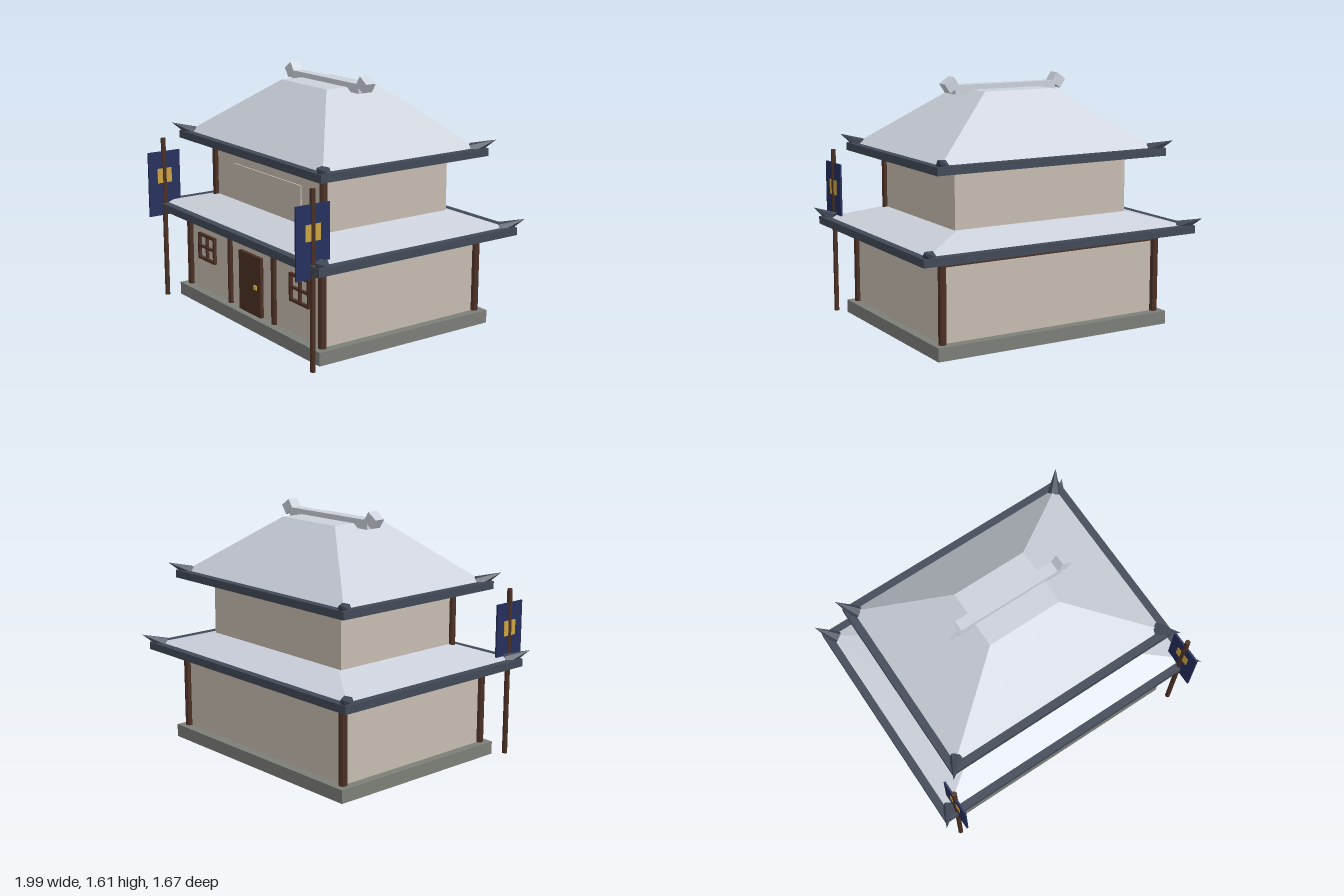
import * as THREE from 'three';

const mat = (name, color, flat = false) => {
  const m = new THREE.MeshStandardMaterial({ color, flatShading: flat });
  m.name = name;
  return m;
};

export function createModel() {
  const model = new THREE.Group();
  model.name = 'pagodaHouse';
  const plaster = mat('plaster', 0xc6bcb1);
  const stone = mat('stone', 0x7c7e78);
  const wood = mat('darkWood', 0x4b3024, true);
  const roofTile = mat('paleRoof', 0xcbd0da);
  const slate = mat('slateTrim', 0x414957, true);
  const navy = mat('navyCloth', 0x252f5c);
  const gold = mat('gold', 0xcda33f);
  const CZ = -0.022; // depth centre of the house

  const add = (name, geo, material, x, y, z, parent = model) => {
    const m = new THREE.Mesh(geo, material);
    m.name = name;
    m.position.set(x, y, z);
    parent.add(m);
    return m;
  };
  const box = (name, material, w, h, d, x, y, z, parent) =>
    add(name, new THREE.BoxGeometry(w, h, d), material, x, y, z, parent);
  const post = (name, r, y0, y1, x, z) =>
    add(name, new THREE.CylinderGeometry(r, r, y1 - y0, 8), wood, x, (y0 + y1) / 2, z);

  // Box whose top shrinks to a smaller rectangle
  const hipRoof = (w, d, topW, topD, h) => {
    const g = new THREE.BoxGeometry(w, h, d);
    const p = g.attributes.position;
    for (let i = 0; i < p.count; i++) {
      if (p.getY(i) > 0) {
        p.setX(i, Math.sign(p.getX(i)) * topW / 2);
        p.setZ(i, Math.sign(p.getZ(i)) * topD / 2);
      }
    }
    g.computeVertexNormals();
    return g;
  };

  // Eave slab, sloped roof and four upturned corner horns
  const roofTier = (name, hx, hz, y, topW, topD, h) => {
    const g = new THREE.Group();
    g.name = name;
    model.add(g);
    box('eave', slate, hx * 2, 0.05, hz * 2, 0, y + 0.025, CZ, g);
    add('roofSlope', hipRoof(hx * 2 - 0.1, hz * 2 - 0.1, topW, topD, h),
      roofTile, 0, y + 0.05 + h / 2, CZ, g);
    for (const sx of [-1, 1]) for (const sz of [-1, 1]) {
      const dir = new THREE.Vector3(sx * 0.095, 0.066, sz * 0.122);
      const len = dir.length();
      const horn = add('cornerHorn', new THREE.ConeGeometry(0.046, len, 6), slate,
        sx * (hx + 0.02) - dir.x / 2, y + 0.103 - dir.y / 2,
        CZ + sz * (hz + 0.045) - dir.z / 2, g);
      horn.quaternion.setFromUnitVectors(new THREE.Vector3(0, 1, 0), dir.normalize());
    }
  };

  // Plinth and ground floor
  box('plinth', stone, 1.665, 0.085, 1.32, 0, 0.0425, CZ);
  box('lowerWalls', plaster, 1.55, 0.52, 1.19, 0, 0.345, CZ);
  for (const sx of [-1, 1]) {
    for (const sz of [-1, 1]) post('lowerPost', 0.026, 0.085, 0.605, sx * 0.775, CZ + sz * 0.6);
    post('frontPost', 0.022, 0.085, 0.605, sx * 0.258, CZ + 0.598);
    box('sideBeam', wood, 0.03, 0.05, 1.19, sx * 0.775, 0.579, CZ);
    box('eaveBeam', wood, 1.55, 0.05, 0.03, 0, 0.579, CZ + sx * 0.598);
  }

  // Door
  const front = CZ + 0.595;
  box('door', wood, 0.255, 0.395, 0.03, 0, 0.2825, front + 0.008);
  box('doorKnob', gold, 0.027, 0.027, 0.015, 0.075, 0.277, front + 0.028);

  // Lattice windows
  for (const sx of [-1, 1]) {
    const win = new THREE.Group();
    win.name = 'window';
    win.position.set(sx * 0.55, 0.385, front + 0.008);
    model.add(win);
    for (const s of [-1, 1]) {
      box('frameUpright', wood, 0.017, 0.18, 0.026, s * 0.0965, 0, 0, win);
      box('frameRail', wood, 0.21, 0.017, 0.026, 0, s * 0.0815, 0, win);
    }
    box('mullion', wood, 0.014, 0.17, 0.022, 0, 0, 0, win);
    box('crossbar', wood, 0.2, 0.014, 0.022, 0, 0, 0, win);
  }

  roofTier('lowerRoof', 0.977, 0.765, 0.604, 1.23, 0.975, 0.083);

  // Upper floor with two front posts and a plain panel
  box('upperWalls', plaster, 1.24, 0.42, 0.955, 0, 0.9, CZ);
  for (const sx of [-1, 1]) post('upperPost', 0.024, 0.7, 1.105, sx * 0.62, 0.459);
  box('wallPanel', plaster, 0.775, 0.172, 0.02, 0, 0.898, CZ + 0.4775);

  roofTier('upperRoof', 0.822, 0.643, 1.103, 0.5, 0.39, 0.374);

  // Ridge with raised ends
  box('ridge', roofTile, 0.74, 0.06, 0.072, 0, 1.53, CZ);
  for (const sx of [-1, 1]) {
    const end = box('ridgeEnd', roofTile, 0.08, 0.07, 0.074, sx * 0.395, 1.561, CZ);
    end.rotation.z = -sx * 0.6;
  }

  // Banners on poles
  for (const sx of [-1, 1]) {
    const x = sx * 0.876;
    post('bannerPole', 0.017, 0, 1.1, x, 0.717);
    box('banner', navy, 0.012, 0.44, 0.236, x, 0.79, 0.717);
    box('bannerPatch', gold, 0.018, 0.1, 0.106, x, 0.845, 0.717);
  }
  return model;
}
